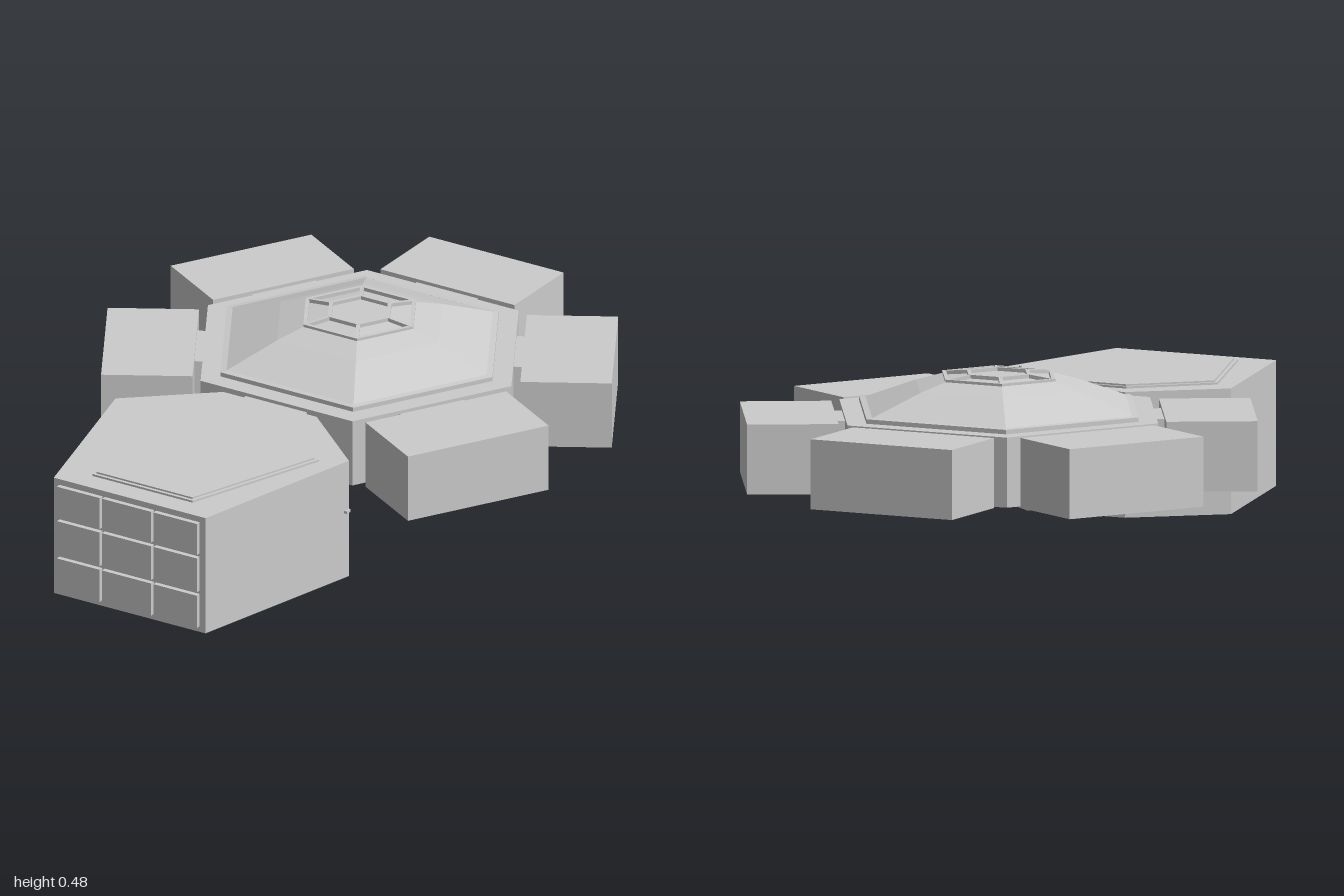
import * as THREE from 'three';

const HUB_Z = -0.26;
const mat = new THREE.MeshStandardMaterial({ color: 0xcccccc, flatShading: true, side: THREE.DoubleSide });

function add(parent, name, geometry, x = 0, y = 0, z = 0) {
  const mesh = new THREE.Mesh(geometry, mat);
  mesh.name = name;
  mesh.position.set(x, y, z);
  parent.add(mesh);
  return mesh;
}

// Six-sided solid of revolution with corners on the x axis; profile runs bottom to top
function hex(profile) {
  return new THREE.LatheGeometry(profile.map(([r, y]) => new THREE.Vector2(r, y)), 6, Math.PI / 6);
}

// Upright prism from a mirrored half outline of [x, z] points
function prism(half, y0, y1) {
  const outline = [...half, ...half.map(([x, z]) => [-x, z]).reverse()];
  const shape = new THREE.Shape(outline.map(([x, z]) => new THREE.Vector2(x, -z)));
  return new THREE.ExtrudeGeometry(shape, { depth: y1 - y0, bevelEnabled: false })
    .rotateX(-Math.PI / 2).translate(0, y0, 0);
}

// Square bar between two points
function bar(parent, name, a, b, t) {
  const mesh = add(parent, name, new THREE.BoxGeometry(t, t, a.distanceTo(b) + t * 0.5));
  mesh.position.copy(a).lerp(b, 0.5);
  mesh.lookAt(b);
}

function createHub() {
  const hub = new THREE.Group();
  hub.name = 'hub';
  add(hub, 'hubBody', hex([[0, 0.16], [0.52, 0.16], [0.52, 0.365], [0, 0.365]]));
  add(hub, 'undersidePlate', hex([[0, 0.14], [0.385, 0.14], [0.385, 0.15], [0.42, 0.15], [0.42, 0.162]]));
  add(hub, 'roofRim', hex([[0.455, 0.363], [0.455, 0.378], [0.435, 0.38]]));
  add(hub, 'dome', hex([[0.437, 0.379], [0.355, 0.409], [0.27, 0.44], [0.18, 0.466]]));

  // Skylight: recessed panes inside a frame of bars
  add(hub, 'skylightPanes', hex([[0.178, 0.46], [0.1, 0.47], [0, 0.47]]));
  const corner = (r, y, i) => {
    const a = i * Math.PI / 3;
    return new THREE.Vector3(r * Math.cos(a), y, r * Math.sin(a));
  };
  for (let i = 0; i < 6; i++) {
    bar(hub, 'skylightOuterFrame', corner(0.178, 0.467, i), corner(0.178, 0.467, i + 1), 0.011);
    bar(hub, 'skylightInnerFrame', corner(0.098, 0.475, i), corner(0.098, 0.475, i + 1), 0.011);
    bar(hub, 'skylightRib', corner(0.178, 0.467, i), corner(0.098, 0.475, i), 0.011);
  }

  // A passage on every side, a room on all sides but the front
  for (let i = 0; i < 6; i++) {
    const arm = new THREE.Group();
    arm.name = i === 0 ? 'frontArm' : 'roomArm';
    arm.rotation.y = i * Math.PI / 3;
    add(arm, 'passage', new THREE.BoxGeometry(0.21, 0.195, 0.08), 0, 0.2575, 0.455);
    if (i > 0) add(arm, 'room', new THREE.BoxGeometry(0.46, 0.205, 0.265), 0, 0.2625, 0.6075);
    hub.add(arm);
  }
  hub.position.z = HUB_Z;
  return hub;
}

function createHall() {
  const hall = new THREE.Group();
  hall.name = 'frontHall';
  add(hall, 'hallBody', prism([[0.26, 0.985], [0.4, 0.43], [0.16, 0.225]], 0, 0.368));
  add(hall, 'roofPanelRim', prism([[0.172, 0.915], [0.33, 0.48], [0.132, 0.288]], 0.36, 0.374));
  add(hall, 'roofPanel', prism([[0.164, 0.905], [0.318, 0.483], [0.127, 0.297]], 0.36, 0.379));

  // Front windows, three by three
  const columns = [[-0.24, -0.093], [-0.085, 0.083], [0.091, 0.24]];
  const rows = [[0.018, 0.121], [0.132, 0.24], [0.251, 0.35]];
  for (const [x0, x1] of columns) {
    for (const [y0, y1] of rows) {
      add(hall, 'window', new THREE.BoxGeometry(x1 - x0, y1 - y0, 0.02),
        (x0 + x1) / 2, (y0 + y1) / 2, 0.99);
    }
  }

  // Small side fittings
  for (const s of [-1, 1]) {
    add(hall, 'sideFitting', new THREE.BoxGeometry(0.014, 0.008, 0.02), s * 0.398, 0.21, 0.438);
  }
  return hall;
}

export function createModel() {
  const model = new THREE.Group();
  model.name = 'hexagonalStation';
  model.add(createHub(), createHall());
  return model;
}
